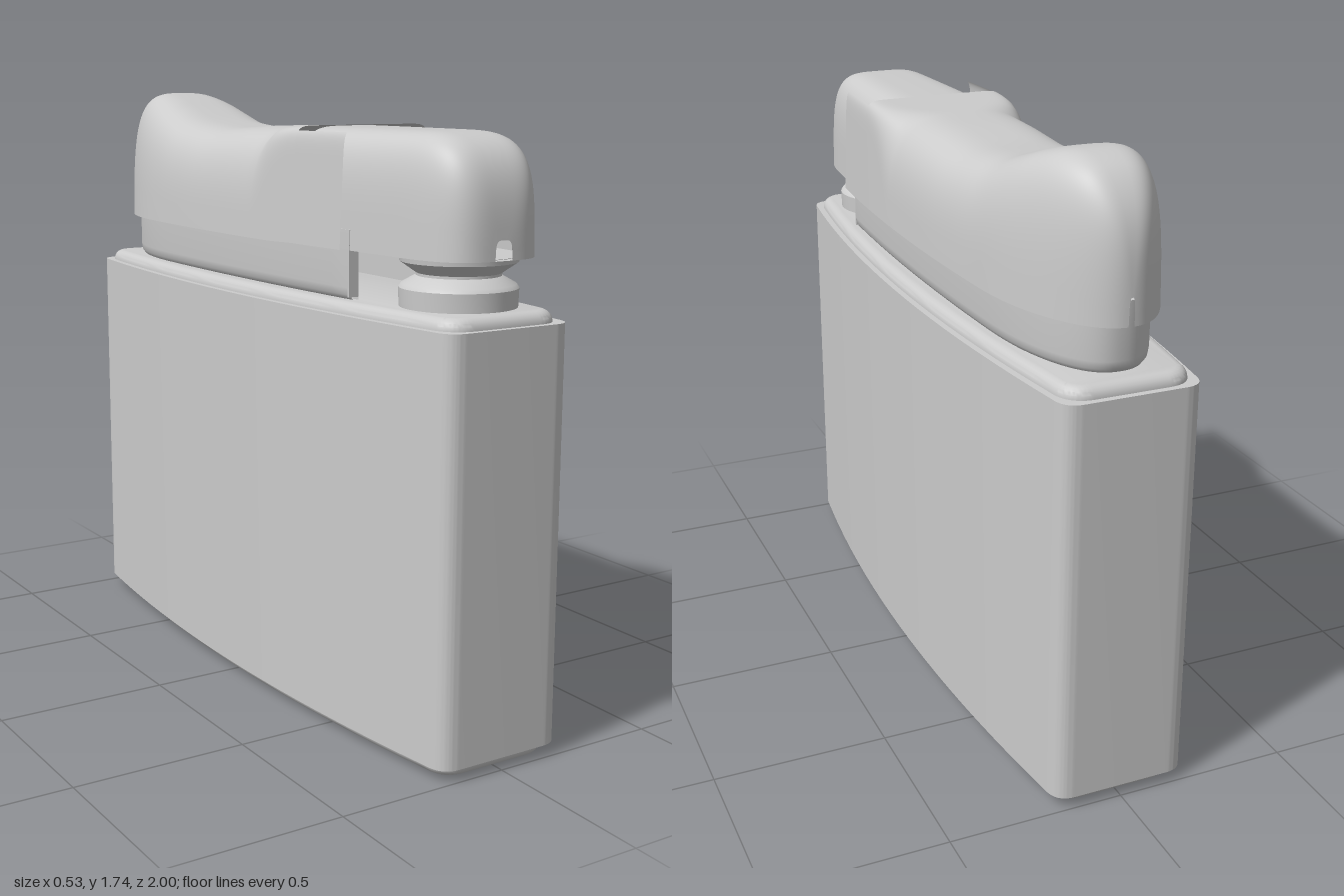
import * as THREE from 'three';
import { toCreasedNormals } from 'three/addons/utils/BufferGeometryUtils.js';

const grey = new THREE.MeshStandardMaterial({ color: 0xcccccc });
const thin = new THREE.MeshStandardMaterial({ color: 0xcccccc, side: THREE.DoubleSide });

// Smooth surface from a rule f(u, v) -> [x, y, z], u and v in 0..1
function surface(rows, cols, f) {
  const pos = [], idx = [];
  for (let i = 0; i <= rows; i++) {
    for (let j = 0; j <= cols; j++) {
      pos.push(...f(i / rows, j / cols));
      if (i < rows && j < cols) {
        const a = i * (cols + 1) + j, b = a + cols + 1;
        idx.push(a, a + 1, b, b, a + 1, b + 1);
      }
    }
  }
  const g = new THREE.BufferGeometry();
  g.setAttribute('position', new THREE.Float32BufferAttribute(pos, 3));
  g.setIndex(idx);
  g.computeVertexNormals();
  return g;
}

// Falls from 1 at z0 to 0 at z1 along a superellipse
function roundOff(z, z0, z1, n) {
  const s = THREE.MathUtils.clamp((z - z0) / (z1 - z0), 0, 0.9995);
  return Math.pow(1 - Math.pow(s, n), 1 / n);
}

// Point on an arched cross-section: angle 0 at the left foot, PI at the right foot
function arch(angle, w, top, z, n, taper) {
  const c = Math.cos(angle), s = Math.max(0, Math.sin(angle));
  const t = Math.pow(s, 2 / n);
  const x = w * Math.sign(c) * Math.pow(Math.abs(c), 2 / n) * (1 - taper * t);
  return [x, CAP_Y + (top - CAP_Y) * t, z];
}

// Plan outline with bowed sides and rounded corners
function plan(mid, end, len, r) {
  const s = new THREE.Shape(), c = 2 * mid - end, k = len - r;
  s.moveTo(end, -k);
  s.quadraticCurveTo(c, 0, end, k);
  s.quadraticCurveTo(end - 0.005, len, end - r, len);
  s.lineTo(-end + r, len);
  s.quadraticCurveTo(-end + 0.005, len, -end, k);
  s.quadraticCurveTo(-c, 0, -end, -k);
  s.quadraticCurveTo(-end + 0.005, -len, -end + r, -len);
  s.lineTo(end - r, -len);
  s.quadraticCurveTo(end - 0.005, -len, end, -k);
  return s;
}

function upright(shape, y, depth, bevel) {
  const g = new THREE.ExtrudeGeometry(shape, {
    depth: depth - 2 * bevel, curveSegments: 20, bevelEnabled: bevel > 0,
    bevelSize: bevel, bevelThickness: bevel, bevelSegments: 5,
  });
  g.rotateX(-Math.PI / 2).translate(0, y + bevel, 0);
  return toCreasedNormals(g, 0.6);
}

const CAP_Y = 1.345, NOTCH_Z = 0.33, FRONT_Z = 0.55, STERN_Z = -0.96;

// Lever top line, evenly spaced from z = 0.55 to z = -0.95
const ridge = new THREE.SplineCurve(
  [1.668, 1.668, 1.667, 1.663, 1.66, 1.657, 1.655, 1.65, 1.646, 1.652, 1.664, 1.695, 1.727, 1.745, 1.733, 1.70]
    .map((y, i) => new THREE.Vector2(0.55 - i * 0.1, y)));
const ridgeY = z => ridge.getPoint(THREE.MathUtils.clamp((0.55 - z) / 1.5, 0, 1)).y;

function leverPoint(z, angle) {
  const w = (0.244 - 0.07 * z * z) * roundOff(z, -0.55, STERN_Z, 2.2);
  const top = CAP_Y + (ridgeY(z) - CAP_Y) * roundOff(z, -0.7, STERN_Z, 4);
  const n = 3.6 + 12.4 * THREE.MathUtils.smoothstep(z, 0.1, NOTCH_Z);
  return arch(angle, w, top, z, n, 0.06);
}

function frontCapPoint(z, angle) {
  const e = roundOff(z, 0.7, 0.957, 3.5);
  const w = (0.198 - 0.07 * Math.max(0, z - 0.4) ** 1.2) * e;
  return arch(angle, w, CAP_Y + 0.318 * e, z, 4.5, 0.05);
}

// Outline of the lever base, open at the front; t runs left tip, stern, right tip
function basePoint(t, inset, y) {
  const side = t < 0.5 ? 1 : -1;
  const s = 1 - Math.abs(2 * t - 1);
  const end = -0.925 + inset;
  const z = FRONT_Z + (end - FRONT_Z) * (1 - Math.pow(1 - s, 2.2));
  const w = (0.207 - inset - 0.05 * z * z) * roundOff(z, -0.5, end, 2.4);
  return [s === 1 ? 0 : side * w, y, z];
}

export function createModel() {
  const model = new THREE.Group();
  const add = (name, geometry, material = grey) => {
    const m = new THREE.Mesh(geometry, material);
    m.name = name;
    model.add(m);
    return m;
  };

  // Tank with softened edges, wrapped by the side sleeve
  add('innerTank', upright(plan(0.217, 0.155, 0.952, 0.05), 0.005, 1.207, 0.03));
  add('bodySleeve', upright(plan(0.265, 0.2, 1, 0.06), 0.04, 1.14, 0));

  // Hollow base under the lever: outer wall, rim, inner wall
  const wall = [[0.03, 1.208], [0.012, 1.213], [0.003, 1.225], [0, 1.245], [0, 1.4], [0.03, 1.4], [0.03, 1.21]];
  const baseGeometry = surface(wall.length - 1, 80, (u, v) => {
    const [inset, y] = wall[Math.round(u * (wall.length - 1))];
    return basePoint(v, inset, y);
  });
  add('leverBase', toCreasedNormals(baseGeometry, 0.7), thin);
  for (const side of [1, -1]) {
    const tip = new THREE.BoxGeometry(0.03, 0.18, 0.006);
    add('leverBaseTip', tip).position.set(side * 0.177, 1.31, FRONT_Z - 0.003);
  }

  // Lever shell with the thumb hump at the back
  add('leverShell', surface(72, 48, (u, v) => {
    const z = NOTCH_Z + (STERN_Z - NOTCH_Z) * (1 - Math.pow(1 - u, 2.2));
    return leverPoint(z, v * Math.PI);
  }), thin);

  // Side cheeks reaching forward beside the notch
  for (const start of [0, 0.75]) {
    add('leverCheek', surface(8, 12, (u, v) =>
      leverPoint(FRONT_Z + (NOTCH_Z - FRONT_Z) * u, (start + v * 0.25) * Math.PI)), thin);
  }

  // Snuffer cap at the front with its flat underside
  const capZ = u => 0.957 - 0.677 * Math.pow(1 - u, 2.2);
  add('snufferCap', surface(48, 48, (u, v) => frontCapPoint(capZ(1 - u), v * Math.PI)), thin);
  add('snufferCapUnderside', surface(48, 1, (u, v) =>
    frontCapPoint(capZ(u), v * Math.PI)), thin);

  // Burner collar with a V groove
  const collar = [[0, 1.2], [0.155, 1.2], [0.157, 1.262], [0.15, 1.272], [0.112, 1.293],
    [0.112, 1.3], [0.155, 1.33], [0.157, 1.346], [0, 1.346]].map(p => new THREE.Vector2(...p));
  add('burnerCollar', toCreasedNormals(new THREE.LatheGeometry(collar, 40), 0.5))
    .position.set(0, 0, 0.775);

  return model;
}
